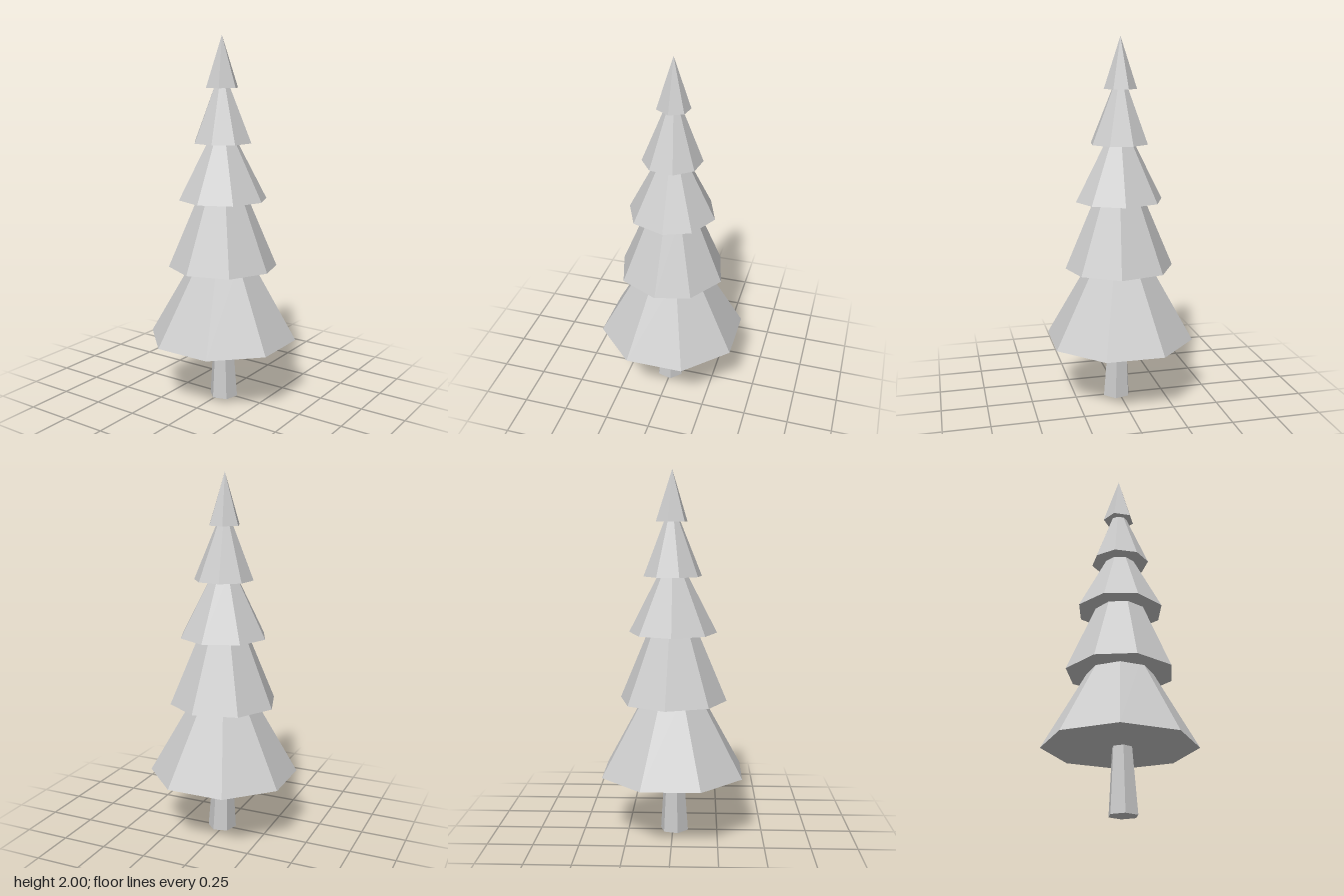
import * as THREE from 'three';

const material = new THREE.MeshStandardMaterial({ color: 0xcccccc, flatShading: true });

// A ring of corners in a level plane; angles run from +x towards +z, in degrees.
function ring(angles, radius, [x, y, z]) {
  return angles.map((a) => {
    const t = THREE.MathUtils.degToRad(a);
    return [x + radius * Math.cos(t), y, z + radius * Math.sin(t)];
  });
}

// Closed, faceted frustum (or a pointed cone when topRadius is 0).
function frustum(name, { angles, radius, base, topRadius, top }) {
  const low = ring(angles, radius, base);
  const high = ring(angles, topRadius, top);
  const points = [];
  for (let i = 0; i < angles.length; i++) {
    const j = (i + 1) % angles.length;
    points.push(low[i], high[i], low[j]);
    points.push(base, low[i], low[j]);
    if (topRadius > 0) {
      points.push(low[j], high[i], high[j]);
      points.push(top, high[j], high[i]);
    }
  }
  const geometry = new THREE.BufferGeometry();
  geometry.setAttribute('position', new THREE.Float32BufferAttribute(points.flat(), 3));
  geometry.computeVertexNormals();
  const mesh = new THREE.Mesh(geometry, material);
  mesh.name = name;
  return mesh;
}

const evenAngles = (count, start) => Array.from({ length: count }, (_, i) => start + (i * 360) / count);

// Branch tiers from the lowest to the pointed tip, each turned a little differently.
const tiers = [
  { angles: evenAngles(8, 22.5), radius: 0.412, base: [0, 0.35, 0], topRadius: 0.155, top: [0, 0.8, 0] },
  { angles: [3, 49, 95.5, 138.5, 186, 231.7, 280.5, 325.3], radius: 0.298, base: [0, 0.757, 0],
    topRadius: 0.123, top: [0, 1.17, 0] },
  { angles: [-3.3, 42.5, 89, 133, 180, 225.7, 274.8, 319.6], radius: 0.241, base: [0, 1.13, 0],
    topRadius: 0.066, top: [-0.002, 1.47, 0] },
  { angles: [31.7, 76.7, 122.5, 165.9, 210.9, 255.4, 300.5, 344], radius: 0.161, base: [0, 1.437, 0],
    topRadius: 0.034, top: [-0.006, 1.755, -0.003] },
  { angles: [2.7, 67, 129.7, 193.4, 253.4, 307.6], radius: 0.089, base: [-0.006, 1.727, -0.004],
    topRadius: 0, top: [-0.007, 2, -0.003] },
];

export function createModel() {
  const tree = new THREE.Group();
  tree.name = 'pineTree';

  // Tapered six-sided trunk
  tree.add(frustum('trunk', {
    angles: evenAngles(6, -15), radius: 0.08, base: [0.014, 0, 0.009],
    topRadius: 0.055, top: [0.008, 0.36, 0.007],
  }));

  // Stacked foliage
  tiers.forEach((tier, i) => tree.add(frustum(`branchTier${i + 1}`, tier)));
  return tree;
}
